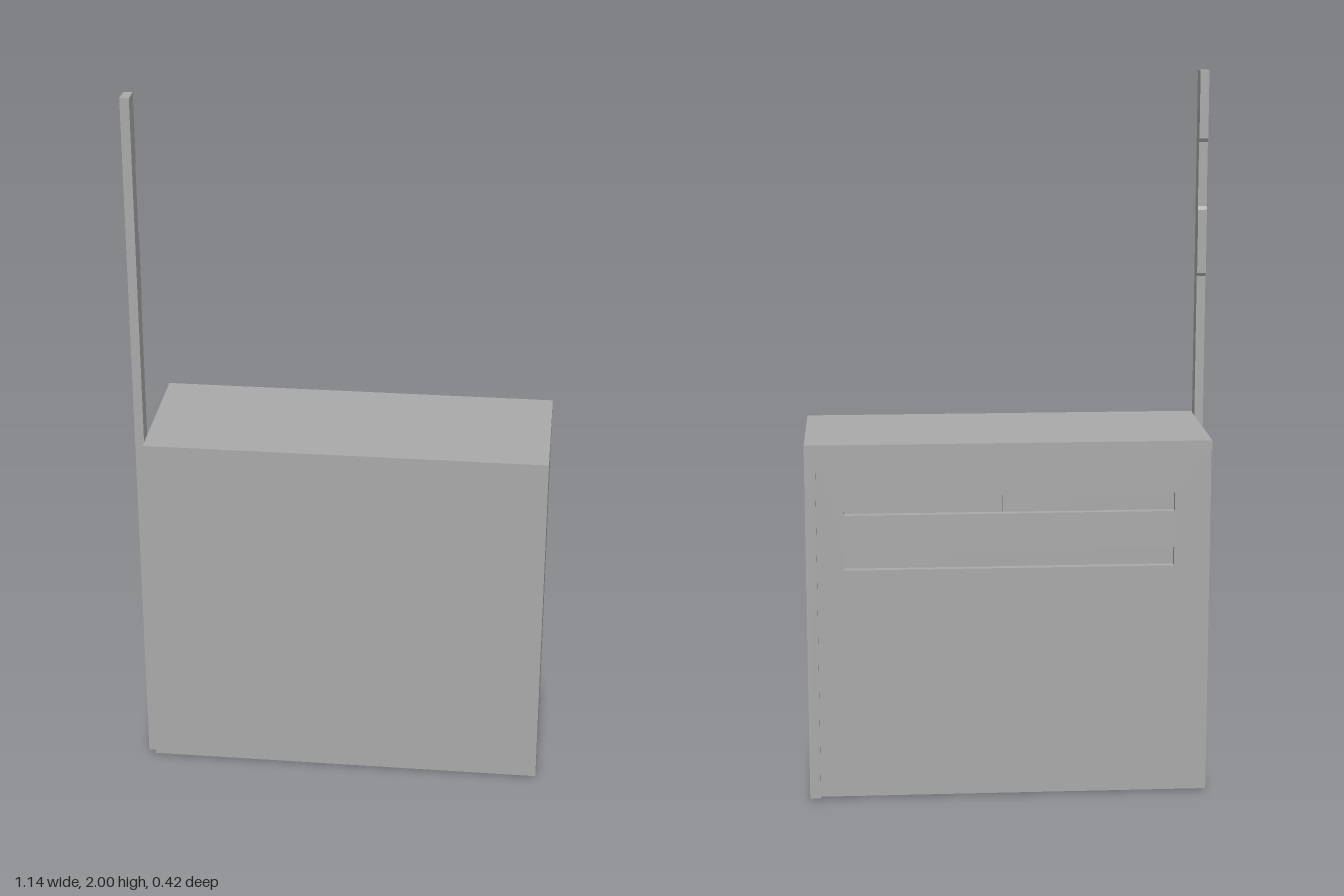
import * as THREE from 'three';

const grey = new THREE.MeshStandardMaterial({ color: 0xaaaaaa });
grey.name = 'grey metal';

// Box given by its min and max corners
function block(name, [x0, y0, z0], [x1, y1, z1]) {
  const mesh = new THREE.Mesh(new THREE.BoxGeometry(x1 - x0, y1 - y0, z1 - z0), grey);
  mesh.position.set((x0 + x1) / 2, (y0 + y1) / 2, (z0 + z1) / 2);
  mesh.name = name;
  return mesh;
}

function rectangle(path, x0, y0, x1, y1) {
  path.moveTo(x0, y0);
  path.lineTo(x1, y0);
  path.lineTo(x1, y1);
  path.lineTo(x0, y1);
  path.closePath();
  return path;
}

export function createModel() {
  const model = new THREE.Group();
  model.name = 'letterbox';
  const L = -0.545, R = 0.57, B = 0.005, T = 1.015;
  const back = -0.208, front = 0.208, door = -0.196;

  // Casing: top and one side stand slightly proud of the rear door
  model.add(
    block('frontWall', [L, B, front - 0.02], [R, T, front]),
    block('topWall', [L, T - 0.027, back], [R, T, front - 0.02]),
    block('leftWall', [R - 0.03, B, back], [R, T - 0.027, front - 0.02]),
    block('rightWall', [L, B, door + 0.02], [L + 0.02, T - 0.027, front - 0.02]),
    block('floor', [L + 0.02, B, door + 0.02], [R - 0.03, B + 0.02, front - 0.02])
  );

  // Rear door with two long slots
  const shape = rectangle(new THREE.Shape(), L, B, R - 0.03, T - 0.027);
  for (const y of [0.66, 0.815]) {
    shape.holes.push(rectangle(new THREE.Path(), -0.446, y, 0.466, y + 0.052));
  }
  const panel = new THREE.Mesh(
    new THREE.ExtrudeGeometry(shape, { depth: 0.02, bevelEnabled: false }), grey);
  panel.position.z = door;
  panel.name = 'rearDoor';
  model.add(panel);

  // Inner plate and rib seen through the slots
  model.add(
    block('innerPlate', [L + 0.02, 0.5, -0.1], [R - 0.03, T - 0.027, -0.09]),
    block('innerRib', [0.012, 0.76, -0.11], [0.024, T - 0.027, -0.1])
  );

  // Tall post beside the casing, its rear edge stepped
  const zFront = 0.185, zWide = 0.132, zNarrow = 0.139;
  const profile = new THREE.Shape([
    [zFront, 0], [zFront, 2], [zWide, 2], [zWide, 1.81], [zNarrow, 1.8],
    [zNarrow, 1.62], [zWide, 1.61], [zWide, 1.43], [zNarrow, 1.42], [zNarrow, 0]
  ].map(([z, y]) => new THREE.Vector2(-z, y)));
  const post = new THREE.Mesh(
    new THREE.ExtrudeGeometry(profile, { depth: 0.025, bevelEnabled: false }), grey);
  post.rotation.y = Math.PI / 2;
  post.position.x = -0.57;
  post.name = 'post';
  model.add(post);

  return model;
}
